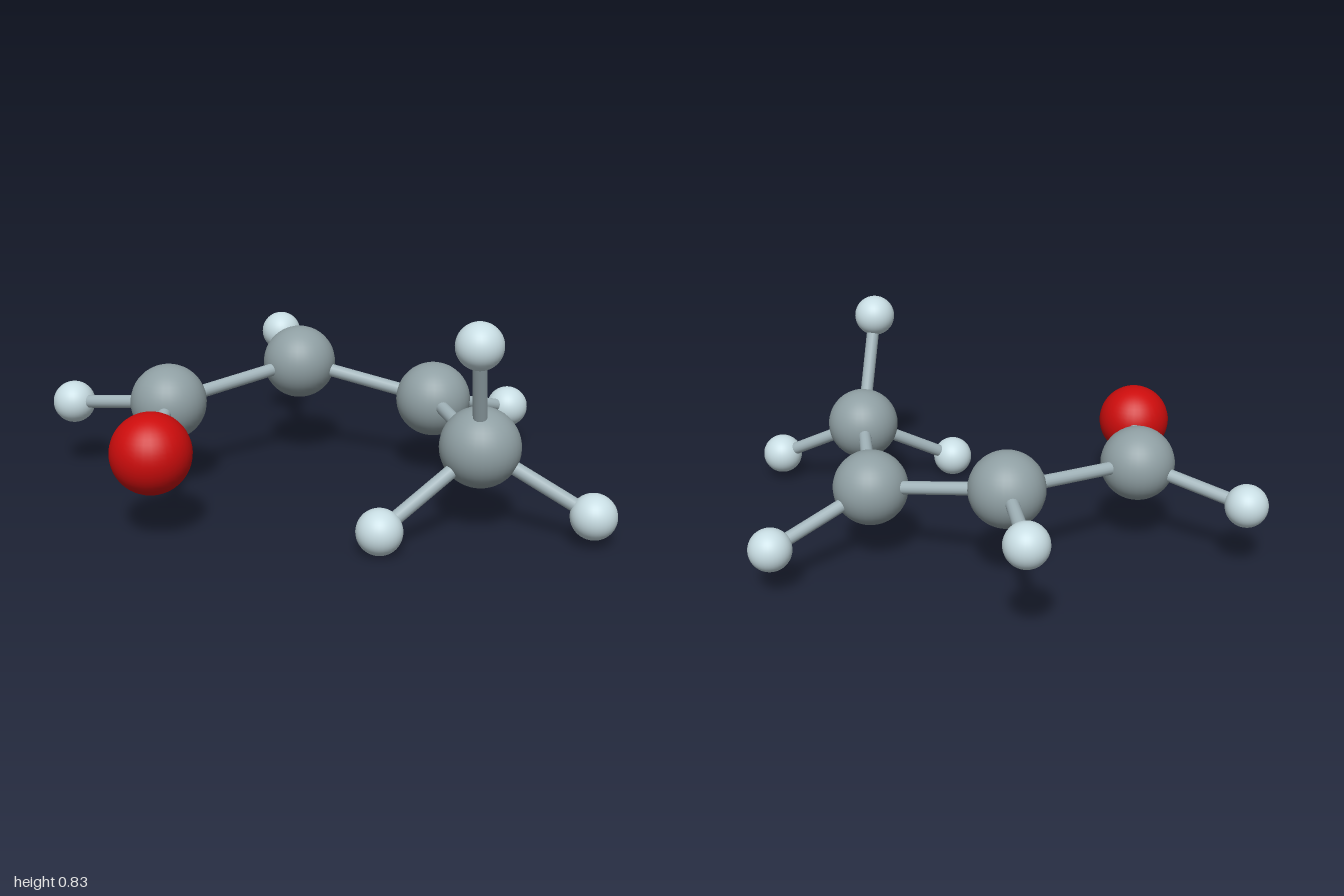
import * as THREE from 'three';

const material = (color) => new THREE.MeshStandardMaterial({ color });

export function createModel() {
  const model = new THREE.Group();

  const kinds = {
    carbon: { radius: 0.148, mat: material(0x8f9fa3) },
    oxygen: { radius: 0.148, mat: material(0xcc0c0c) },
    hydrogen: { radius: 0.084, mat: material(0xc8dde3) },
  };
  const bondMat = material(0xa3b5bb);

  // Atoms: name, kind, centre
  const atoms = {
    endCarbon: ['carbon', -0.543, 0.36, -0.002],
    oxygen: ['oxygen', -0.626, 0.332, 0.515],
    backCarbon: ['carbon', 0.011, 0.417, -0.314],
    sideCarbon: ['carbon', 0.517, 0.318, -0.038],
    frontCarbon: ['carbon', 0.544, 0.328, 0.594],
    endHydrogen: ['hydrogen', -0.916, 0.29, -0.286],
    backHydrogen: ['hydrogen', -0.009, 0.43, -0.787],
    sideHydrogen: ['hydrogen', 0.9, 0.193, -0.286],
    innerHydrogen: ['hydrogen', 0.151, 0.088, 0.75],
    upperHydrogen: ['hydrogen', 0.477, 0.753, 0.782],
    outerHydrogen: ['hydrogen', 0.912, 0.117, 0.785],
  };

  const centres = {};
  for (const [name, [kind, x, y, z]] of Object.entries(atoms)) {
    const { radius, mat } = kinds[kind];
    const atom = new THREE.Mesh(new THREE.SphereGeometry(radius, 32, 24), mat);
    atom.name = name;
    atom.position.set(x, y, z);
    centres[name] = atom.position;
    model.add(atom);
  }

  // Bonds: rods running between atom centres
  const bonds = [
    ['endCarbon', 'oxygen'],
    ['endCarbon', 'backCarbon'],
    ['backCarbon', 'sideCarbon'],
    ['sideCarbon', 'frontCarbon'],
    ['endCarbon', 'endHydrogen'],
    ['backCarbon', 'backHydrogen'],
    ['sideCarbon', 'sideHydrogen'],
    ['frontCarbon', 'innerHydrogen'],
    ['frontCarbon', 'upperHydrogen'],
    ['frontCarbon', 'outerHydrogen'],
  ];
  const up = new THREE.Vector3(0, 1, 0);
  for (const [from, to] of bonds) {
    const a = centres[from];
    const b = centres[to];
    const dir = b.clone().sub(a);
    const rod = new THREE.Mesh(new THREE.CylinderGeometry(0.026, 0.026, dir.length(), 16), bondMat);
    rod.name = `bond ${from} to ${to}`;
    rod.position.copy(a).lerp(b, 0.5);
    rod.quaternion.setFromUnitVectors(up, dir.normalize());
    model.add(rod);
  }

  return model;
}
